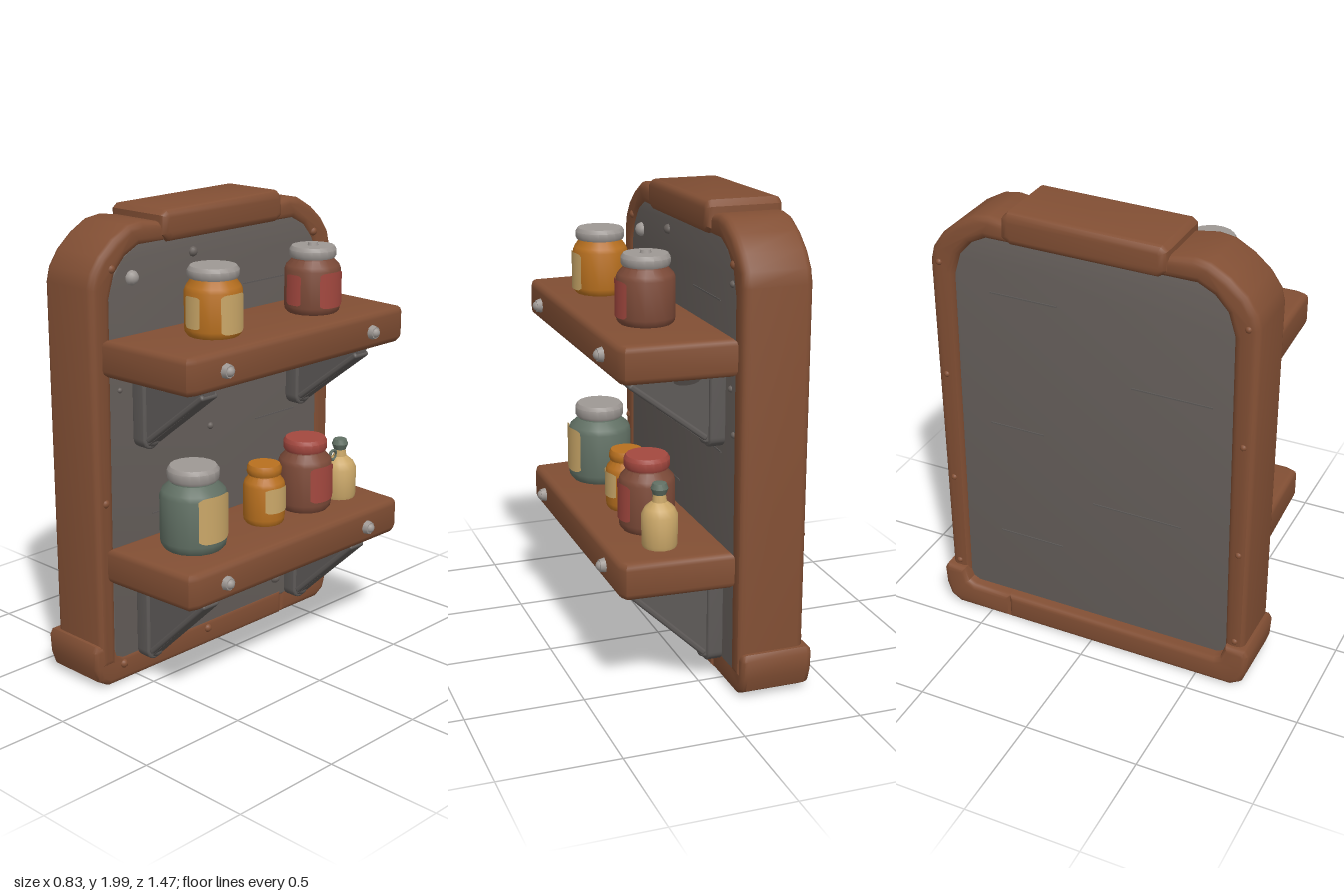
import * as THREE from 'three';
import { toCreasedNormals } from 'three/addons/utils/BufferGeometryUtils.js';
import { RoundedBoxGeometry } from 'three/addons/geometries/RoundedBoxGeometry.js';

const paint = (name, color, side = THREE.FrontSide) => {
  const m = new THREE.MeshStandardMaterial({ color, side });
  m.name = name;
  return m;
};

export function createModel() {
  const wood = paint('wood', 0x824f34);
  const slate = paint('grey panel', 0x67605c);
  const iron = paint('dark iron', 0x5e5a58);
  const metal = paint('light metal', 0x9e9894);
  const amber = paint('amber glass', 0xb8701f);
  const green = paint('green glass', 0x617064);
  const brown = paint('brown glass', 0x7c4a38);
  const cream = paint('cream', 0xcaa768, THREE.DoubleSide);
  const red = paint('red', 0xa3483f, THREE.DoubleSide);

  const root = new THREE.Group();
  root.name = 'wallShelf';
  const add = (parent, name, geo, mat, x = 0, y = 0, z = 0) => {
    const m = new THREE.Mesh(geo, mat);
    m.name = name;
    m.position.set(x, y, z);
    parent.add(m);
    return m;
  };

  // Extrudes an outline drawn in (u, y), u = -z, between two x values
  const slab = (shape, x0, x1, bevel) => {
    const g = new THREE.ExtrudeGeometry(shape, {
      depth: x1 - x0 - 2 * bevel, bevelThickness: bevel, bevelSize: bevel,
      bevelOffset: -bevel, bevelSegments: 3, curveSegments: 8,
    });
    g.rotateY(Math.PI / 2).translate(x0 + bevel, 0, 0);
    return toCreasedNormals(g, 0.7);
  };
  const outline = (pts, s = 1) => new THREE.Shape(pts.map(([u, y]) => new THREE.Vector2(s * u, y)));

  // Backing panel with clipped upper corners
  const half = [[0.63, 0.1], [0.63, 1.66], [0.6, 1.75], [0.54, 1.83], [0.45, 1.88]];
  const panelPts = [...half, ...half.map(([u, y]) => [-u, y]).reverse()];
  add(root, 'backPanel', slab(outline(panelPts), -0.355, -0.1, 0.01), slate);

  // Frame: two posts that bend inward at the top, a top beam and a two-part base
  const post = [
    [0.705, 0.1], [0.71, 1.72], [0.695, 1.78], [0.65, 1.845], [0.58, 1.905], [0.5, 1.95], [0.43, 1.96],
    [0.3, 1.94], [0.3, 1.86], [0.45, 1.86], [0.52, 1.825], [0.575, 1.765], [0.605, 1.67], [0.62, 0.1],
  ];
  for (const s of [1, -1]) add(root, s > 0 ? 'rightPost' : 'leftPost', slab(outline(post, s), -0.38, -0.09, 0.03), wood);
  const beam = [
    [-0.335, 1.89], [-0.3, 1.86], [0.33, 1.865], [0.37, 1.89], [0.365, 1.975], [0.34, 2], [-0.31, 1.99], [-0.335, 1.97],
  ];
  add(root, 'topBeam', slab(outline(beam), -0.4, -0.07, 0.03), wood);
  const foot = (end) => [
    [end, 0.01], [0.66, 0.01], [0.71, 0.04], [0.73, 0.1], [0.735, 0.18], [0.72, 0.205],
    [0.63, 0.205], [0.61, 0.145], [0.58, 0.13], [end, 0.13],
  ];
  add(root, 'baseLong', slab(outline(foot(-0.405), -1), -0.41, -0.095, 0.025), wood);
  add(root, 'baseShort', slab(outline(foot(0.4)), -0.41, -0.1, 0.025), wood);

  // Domed nail heads facing along x
  const nail = (name, x, y, u, r, mat, dir = 1) => {
    const g = new THREE.SphereGeometry(r, 10, 5, 0, Math.PI * 2, 0, Math.PI / 2);
    g.rotateZ(-dir * Math.PI / 2);
    add(root, name, g, mat, x, y, -u);
  };
  for (const [u, y, r] of [[-0.49, 1.74, 0.032], [-0.15, 1.8, 0.022], [0.57, 1.71, 0.015], [-0.285, 0.2, 0.026],
    [0.36, 0.2, 0.026], [-0.055, 1.03, 0.016], [0.6, 1.11, 0.014], [0.565, 1.29, 0.014], [-0.565, 1.29, 0.012]])
    nail('panelNail', -0.102, y, u, r, r > 0.03 ? metal : slate);
  for (const [u, y] of [[-0.6, 1.79], [0.59, 1.79], [-0.66, 0.83], [-0.58, 0.09], [-0.08, 0.09]])
    nail('frameNail', -0.1, y, u, 0.02, wood);
  for (const u of [-0.665, 0.665])
    for (const y of [0.23, 0.68, 1.2, 1.72]) nail('rearNail', -0.375, y, u, 0.015, wood, -1);

  // Plank cracks on both faces of the panel
  const cracks = [[0.3, 1.62, 0.3], [-0.35, 1.33, 0.35], [0.35, 1.0, 0.25], [-0.2, 0.72, 0.4], [0.3, 0.45, 0.3]];
  for (const [u, y, w] of cracks)
    for (const x of [-0.356, -0.1]) add(root, 'panelCrack', new THREE.BoxGeometry(0.006, 0.006, w), iron, x, y, -u);

  // Shelf board, its front bolts and two triangular brackets
  const shelf = (top, drop, holed) => {
    const board = [[-0.67, -0.085], [0.665, -0.085], [0.645, 0.37], [0.6, 0.385], [-0.61, 0.385], [-0.65, 0.365]];
    const g = new THREE.ExtrudeGeometry(outline(board), {
      depth: 0.1, bevelThickness: 0.028, bevelSize: 0.028, bevelOffset: -0.028, bevelSegments: 3,
    });
    // Stand the (u, x) outline flat: u becomes -z, its second axis becomes x
    g.applyMatrix4(new THREE.Matrix4().set(0, 1, 0, 0, 0, 0, 1, top - 0.128, 1, 0, 0, 0, 0, 0, 0, 1));
    add(root, 'shelfBoard', toCreasedNormals(g, 0.7), wood);
    for (const u of [-0.445, 0.43]) {
      const bolt = new THREE.CylinderGeometry(0.026, 0.034, 0.03, 8).rotateZ(-Math.PI / 2);
      add(root, 'shelfBolt', bolt, metal, 0.392, top - 0.08, -u);
      nail('shelfBoltHead', 0.4, top - 0.08, u, 0.022, metal);
    }
    const y0 = top - 0.14, yb = y0 - drop;
    for (const u of [-0.452, 0.468]) {
      const bracket = new THREE.Group();
      bracket.name = 'bracket';
      bracket.position.z = -u;
      root.add(bracket);
      // Triangular web
      const tri = new THREE.Shape([[-0.09, y0], [0.3, y0], [0.3, y0 - 0.07], [-0.02, yb + 0.03], [-0.09, yb + 0.03]]
        .map((p) => new THREE.Vector2(...p)));
      if (holed) tri.holes.push(new THREE.Path().absellipse(0.06, y0 - 0.06, 0.055, 0.018, 0, Math.PI * 2, true));
      const web = new THREE.ExtrudeGeometry(tri, { depth: 0.06, bevelEnabled: false, curveSegments: 10 });
      add(bracket, 'bracketWeb', web, iron, 0, 0, -0.03);
      // Sloping strap along the long edge
      const a = new THREE.Vector2(0.3, y0 - 0.055), b = new THREE.Vector2(-0.025, yb + 0.045);
      const strap = add(bracket, 'bracketStrap', new RoundedBoxGeometry(a.distanceTo(b), 0.025, 0.09, 2, 0.01), iron,
        (a.x + b.x) / 2, (a.y + b.y) / 2);
      strap.rotation.z = Math.atan2(a.y - b.y, a.x - b.x);
      // Wall plate with a rounded lower end
      const plate = new THREE.Shape();
      plate.moveTo(0.045, y0).lineTo(-0.045, y0).lineTo(-0.045, yb + 0.045);
      plate.absarc(0, yb + 0.045, 0.045, Math.PI, Math.PI * 2, false);
      add(bracket, 'bracketPlate', slab(plate, -0.105, -0.035, 0.008), iron);
      nail('bracketBolt', -0.036, yb + 0.042, u, 0.03, iron);
    }
  };
  shelf(1.52, 0.35, true);
  shelf(0.64, 0.41, false);

  // Label: a plate with softened corners, bent around a jar; turn 0 faces +x
  const label = (parent, r, w, h, y, mat, turn) => {
    const g = new THREE.PlaneGeometry(w, h, 12, 4), p = g.attributes.position;
    for (let i = 0; i < p.count; i++) {
      const u = p.getX(i), v = p.getY(i) * (1 - 0.14 * Math.abs(2 * u / w) ** 6);
      p.setXYZ(i, r * Math.cos(u / r), v, -r * Math.sin(u / r));
    }
    g.rotateY(turn).computeVertexNormals();
    add(parent, 'label', g, mat, 0, y, 0);
  };
  const lathe = (pts) => toCreasedNormals(
    new THREE.LatheGeometry(pts.map((p) => new THREE.Vector2(...p)), 18), 0.6);

  // Jar: straight body, sloped shoulder, neck and rounded lid
  const jar = (name, x, y, u, r, h, lidR, glass, lidMat) => {
    const j = new THREE.Group();
    j.name = name;
    j.position.set(x, y - 0.005, -u);
    root.add(j);
    const s = h * 0.66, n = h * 0.83;
    add(j, 'jarBody', lathe([[0, 0], [r * 0.85, 0], [r * 0.97, h * 0.06], [r, h * 0.12], [r, s], [r * 0.94, s + h * 0.06],
      [lidR * 0.88, n - h * 0.02], [lidR * 0.85, n + 0.01], [0, n + 0.01]]), glass);
    add(j, 'jarLid', lathe([[0, n], [lidR * 0.94, n], [lidR, n + 0.012], [lidR, h - 0.016], [lidR * 0.9, h], [0, h]]), lidMat);
    return j;
  };
  const front = 0, side = -Math.PI / 2;
  const jarA = jar('amberJar', 0.16, 1.52, -0.29, 0.118, 0.285, 0.105, amber, metal);
  label(jarA, 0.122, 0.13, 0.16, 0.105, cream, front);
  label(jarA, 0.122, 0.08, 0.13, 0.11, cream, side);
  const jarB = jar('brownJar', 0.16, 1.52, 0.3, 0.12, 0.285, 0.1, brown, metal);
  label(jarB, 0.124, 0.145, 0.15, 0.11, red, front);
  label(jarB, 0.124, 0.08, 0.13, 0.11, red, side);
  add(jarB, 'lidKnob', new THREE.CylinderGeometry(0.02, 0.024, 0.015, 10), metal, 0, 0.29, 0);
  const jarC = jar('greenJar', 0.14, 0.64, -0.39, 0.14, 0.355, 0.108, green, metal);
  label(jarC, 0.144, 0.18, 0.2, 0.155, cream, front);
  const jarD = jar('smallAmberJar', 0.15, 0.64, 0.02, 0.09, 0.265, 0.075, amber, amber);
  label(jarD, 0.094, 0.14, 0.11, 0.12, cream, front);
  const jarE = jar('redLidJar', 0.15, 0.64, 0.28, 0.118, 0.325, 0.096, brown, red);
  label(jarE, 0.122, 0.155, 0.16, 0.135, red, front);

  // Corked bottle with a small ring handle
  const bottle = new THREE.Group();
  bottle.name = 'bottle';
  bottle.position.set(0.17, 0.635, -0.49);
  root.add(bottle);
  add(bottle, 'bottleBody', lathe([[0, 0], [0.068, 0], [0.074, 0.02], [0.075, 0.14], [0.06, 0.17], [0.03, 0.195],
    [0.024, 0.235], [0, 0.235]]), cream);
  add(bottle, 'bottleCork', lathe([[0, 0.22], [0.026, 0.225], [0.036, 0.25], [0.028, 0.272], [0, 0.278]]), green);
  add(bottle, 'bottleRing', new THREE.TorusGeometry(0.022, 0.007, 6, 12).rotateY(Math.PI / 2), green, 0, 0.205, 0.045);

  return root;
}
